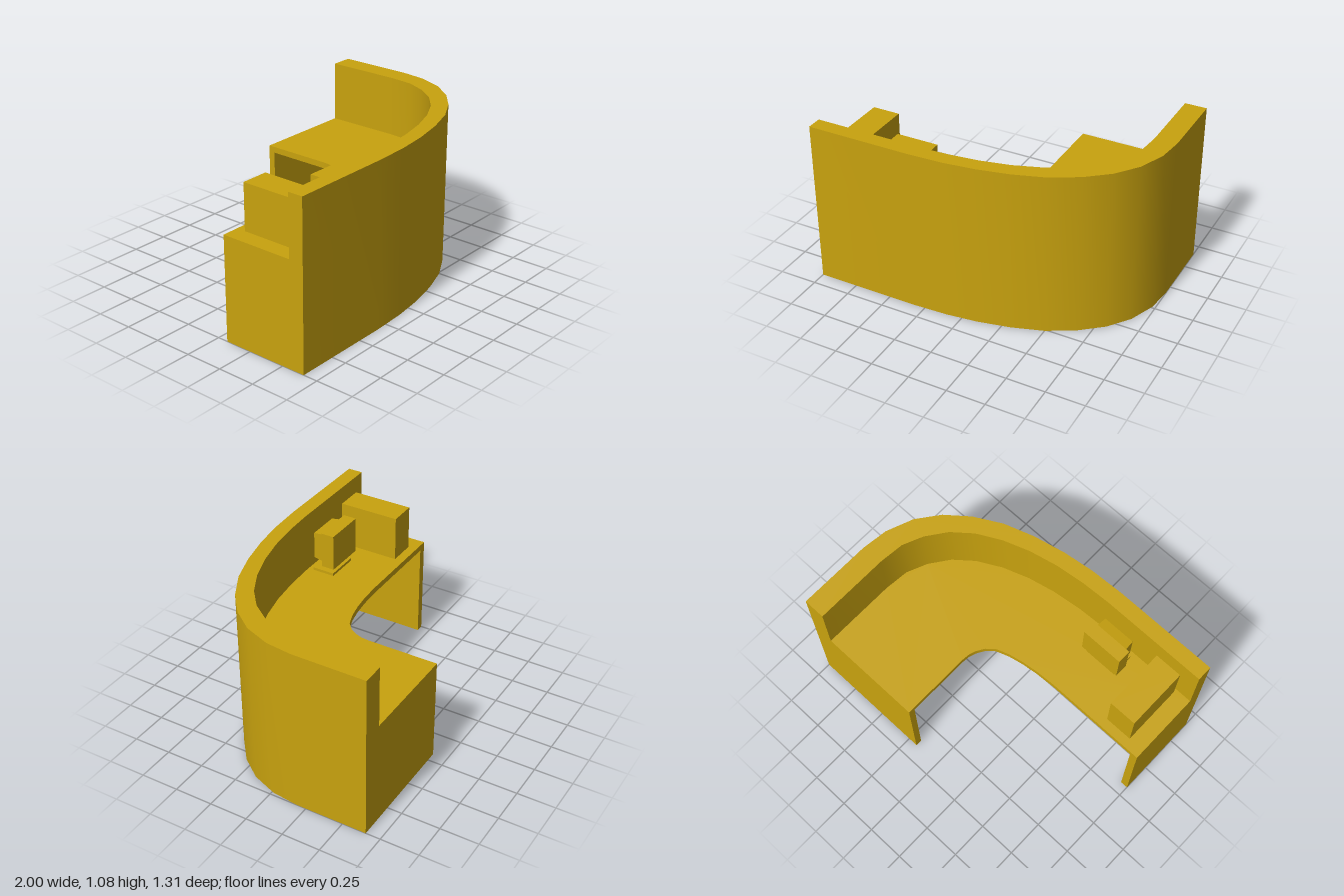
import * as THREE from 'three';
import { toCreasedNormals } from 'three/addons/utils/BufferGeometryUtils.js';

const TOP = 1.08, COUNTER = 0.685, SLAB = 0.04;

// Plan outlines as [x, z], from the -x end round the bend to the back end
const OUTER = [[-1, 0.655], [-0.32, 0.655], [-0.1, 0.645], [0.1, 0.62], [0.305, 0.575], [0.5, 0.51],
  [0.67, 0.415], [0.81, 0.3], [0.915, 0.16], [0.98, -0.01], [1, -0.18], [1, -0.655]];
const INNER = [[-1, 0.557], [-0.3, 0.557], [-0.11, 0.548], [0.08, 0.525], [0.26, 0.485], [0.43, 0.425],
  [0.58, 0.345], [0.7, 0.245], [0.79, 0.12], [0.845, -0.01], [0.86, -0.17], [0.86, -0.655]];
const EDGE = [[-1, 0.07], [-0.33, 0.07], [-0.2, 0.063], [-0.095, 0.05], [0, 0.03], [0.085, 0],
  [0.135, -0.045], [0.165, -0.095], [0.18, -0.14], [0.185, -0.19], [0.185, -0.655]];

export function createModel() {
  const group = new THREE.Group();
  const material = new THREE.MeshStandardMaterial({ color: 0xc8a20e });

  const add = (name, geometry, parent = group) => {
    const mesh = new THREE.Mesh(geometry, material);
    mesh.name = name;
    parent.add(mesh);
    return mesh;
  };

  // Upright band between two plan outlines
  const band = (name, a, b, y0, y1) => {
    const points = [...a, ...[...b].reverse()].map(([x, z]) => new THREE.Vector2(x, -z));
    const geo = new THREE.ExtrudeGeometry(new THREE.Shape(points), { depth: y1 - y0, bevelEnabled: false });
    geo.rotateX(-Math.PI / 2).translate(0, y0, 0);
    return add(name, toCreasedNormals(geo, 0.55));
  };

  // Box given by its limits on each axis
  const box = (name, [x0, x1], [y0, y1], [z0, z1], parent) => {
    const geo = new THREE.BoxGeometry(x1 - x0, y1 - y0, z1 - z0);
    geo.translate((x0 + x1) / 2, (y0 + y1) / 2, (z0 + z1) / 2);
    return add(name, geo, parent);
  };

  // Curved front wall and the work surface behind it
  band('frontWall', OUTER, INNER, 0, TOP);
  band('counter', INNER, EDGE, COUNTER - SLAB, COUNTER);

  // Panels closing both ends below the counter
  box('sideEndPanel', [-1, -0.95], [0, COUNTER - SLAB], [0.07, 0.557]);
  box('backEndPanel', [0.185, 0.86], [0, COUNTER - SLAB], [-0.655, -0.612]);

  // Computer on the counter
  box('computerTower', [-0.89, -0.71], [COUNTER, 0.985], [0.13, 0.535]);

  const monitor = new THREE.Group();
  monitor.name = 'monitor';
  group.add(monitor);
  box('screen', [-0.578, -0.302], [0.75, 0.99], [0.352, 0.44], monitor);
  box('base', [-0.55, -0.325], [COUNTER, 0.703], [0.37, 0.52], monitor);
  box('neck', [-0.49, -0.385], [0.703, 0.78], [0.415, 0.475], monitor);

  // Rear housing, slightly narrower towards its back
  const housing = box('rearHousing', [-0.55, -0.325], [0.77, 0.97], [0.44, 0.512], monitor);
  const pos = housing.geometry.attributes.position;
  for (let i = 0; i < pos.count; i++) {
    if (pos.getZ(i) > 0.5) {
      pos.setX(i, -0.4375 + (pos.getX(i) + 0.4375) * 0.96);
      pos.setY(i, 0.87 + (pos.getY(i) - 0.87) * 0.9);
    }
  }
  housing.geometry.computeVertexNormals();

  return group;
}
